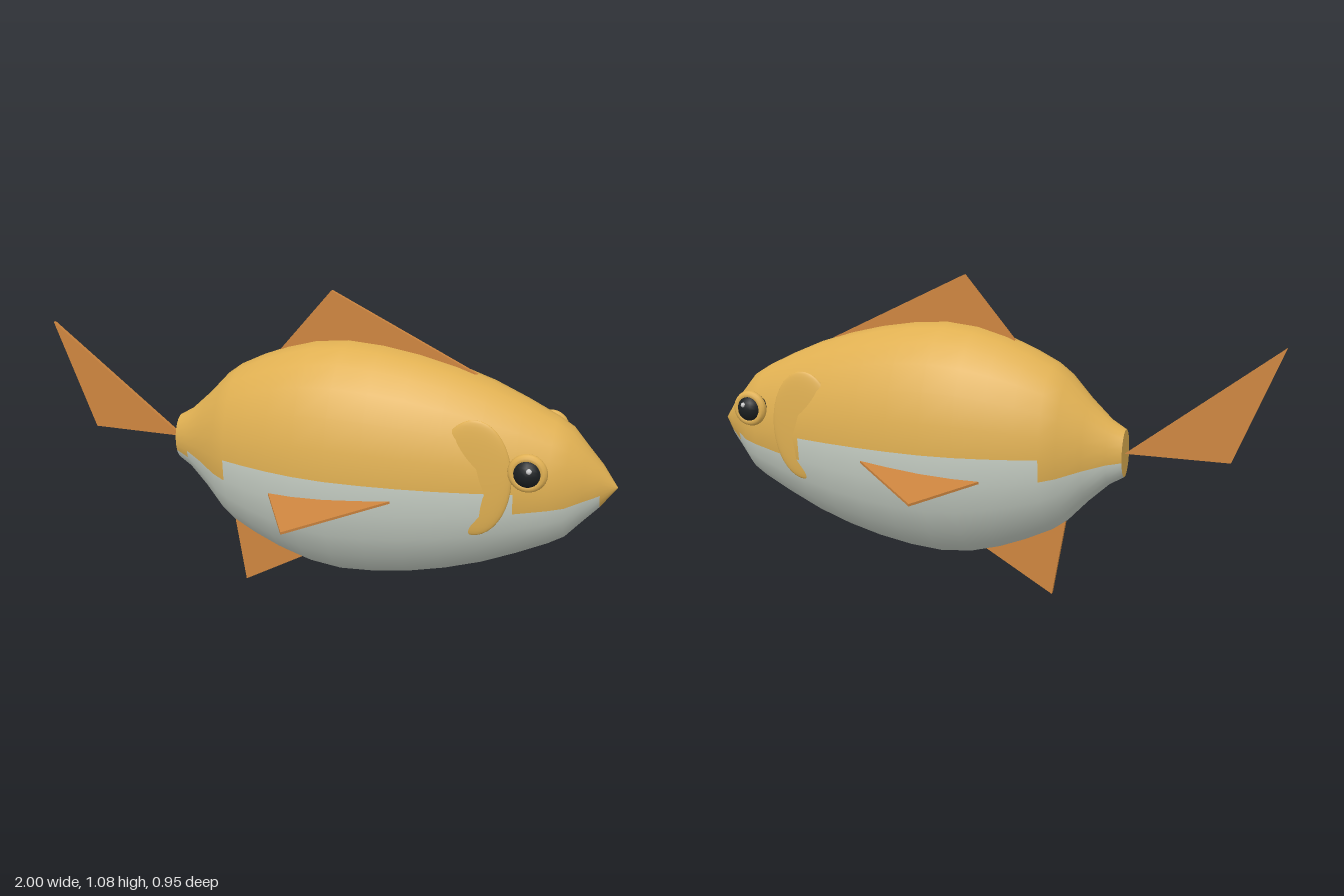
import * as THREE from 'three';
import { ConvexGeometry } from 'three/addons/geometries/ConvexGeometry.js';

const MID = 0.52; // height of the body axis

const paint = (color) => new THREE.MeshStandardMaterial({ color });

export function createModel() {
  const fish = new THREE.Group();
  fish.name = 'fish';
  const gold = paint(0xe0b052), pale = paint(0xc6cec4), orange = paint(0xcd853f);
  const black = paint(0x1c2022), white = paint(0xffffff);

  const add = (name, geometry, material, x = 0, y = 0, z = 0) => {
    const mesh = new THREE.Mesh(geometry, material);
    mesh.name = name;
    mesh.position.set(x, y, z);
    fish.add(mesh);
    return mesh;
  };

  // Body: lathe profile of [x, radius], laid along x and narrowed in z
  const profile = [
    [-0.51, 0.08], [-0.46, 0.11], [-0.39, 0.175], [-0.32, 0.25], [-0.27, 0.287],
    [-0.19, 0.326], [-0.1, 0.362], [0, 0.39], [0.11, 0.402], [0.23, 0.394],
    [0.35, 0.375], [0.47, 0.346], [0.59, 0.307], [0.7, 0.26], [0.8, 0.212],
    [0.85, 0.182], [0.9, 0.125], [0.95, 0.07], [1, 0],
  ].map(([x, r]) => new THREE.Vector2(r, x));
  const body = new THREE.LatheGeometry(profile, 24);
  body.rotateZ(-Math.PI / 2).scale(1, 1, 0.66).translate(0, MID, 0);

  // Faces well below the axis form the pale belly, the rest the golden back
  const pos = body.attributes.position;
  const backFaces = [], bellyFaces = [];
  const index = body.index.array;
  for (let i = 0; i < index.length; i += 6) {
    const quad = Array.from(index.slice(i, i + 6));
    const y = quad.reduce((sum, v) => sum + pos.getY(v), 0) / quad.length;
    (y < MID - 0.036 ? bellyFaces : backFaces).push(...quad);
  }
  const pick = (faces) => {
    const part = body.clone();
    part.setIndex(faces);
    return part;
  };
  add('back', pick(backFaces), gold);
  add('belly', pick(bellyFaces), pale);

  // Flat end of the tail stem
  const stemEnd = new THREE.CircleGeometry(0.08, 24);
  stemEnd.scale(0.66, 1, 1).rotateY(-Math.PI / 2);
  add('tailStemEnd', stemEnd, gold, -0.51, MID, 0);

  // Fins: thin triangular plates
  const fin = (name, corners, offset) => {
    const half = new THREE.Vector3(...offset);
    const points = corners.flatMap((c) => {
      const p = new THREE.Vector3(...c);
      return [p.clone().add(half), p.clone().sub(half)];
    });
    add(name, new ConvexGeometry(points), orange);
  };
  const flat = [0, 0, 0.007];
  fin('dorsalFin', [[-0.15, 0.845, 0], [0.05, 1.08, 0], [0.54, 0.845, 0]], flat);
  fin('tailFin', [[-1, 0.895, 0], [-0.85, 0.52, 0], [-0.51, 0.52, 0]], flat);
  fin('analFin', [[-0.27, 0, 0], [-0.32, 0.3, 0], [0.0, 0.153, 0]], flat);

  // Paired parts
  for (const [side, s] of [['left', -1], ['right', 1]]) {
    fin(side + 'PectoralFin',
      [[-0.09, 0.44, s * 0.23], [0.36, 0.478, s * 0.22], [0.05, 0.42, s * 0.475]], [0, 0.004, 0]);

    const gill = new THREE.SphereGeometry(1, 32, 20);
    gill.scale(0.12, 0.19, 0.019);
    add(side + 'GillCover', gill, gold, 0.575, 0.56, s * 0.178);

    add(side + 'Eye', new THREE.SphereGeometry(0.049, 16, 12), black, 0.75, 0.62, s * 0.222);
    add(side + 'EyeRing', new THREE.TorusGeometry(0.046, 0.015, 10, 28), gold, 0.75, 0.62, s * 0.234);
    add(side + 'EyeGlint', new THREE.SphereGeometry(0.009, 10, 8), white, 0.758, 0.636, s * 0.264);
  }
  return fish;
}
